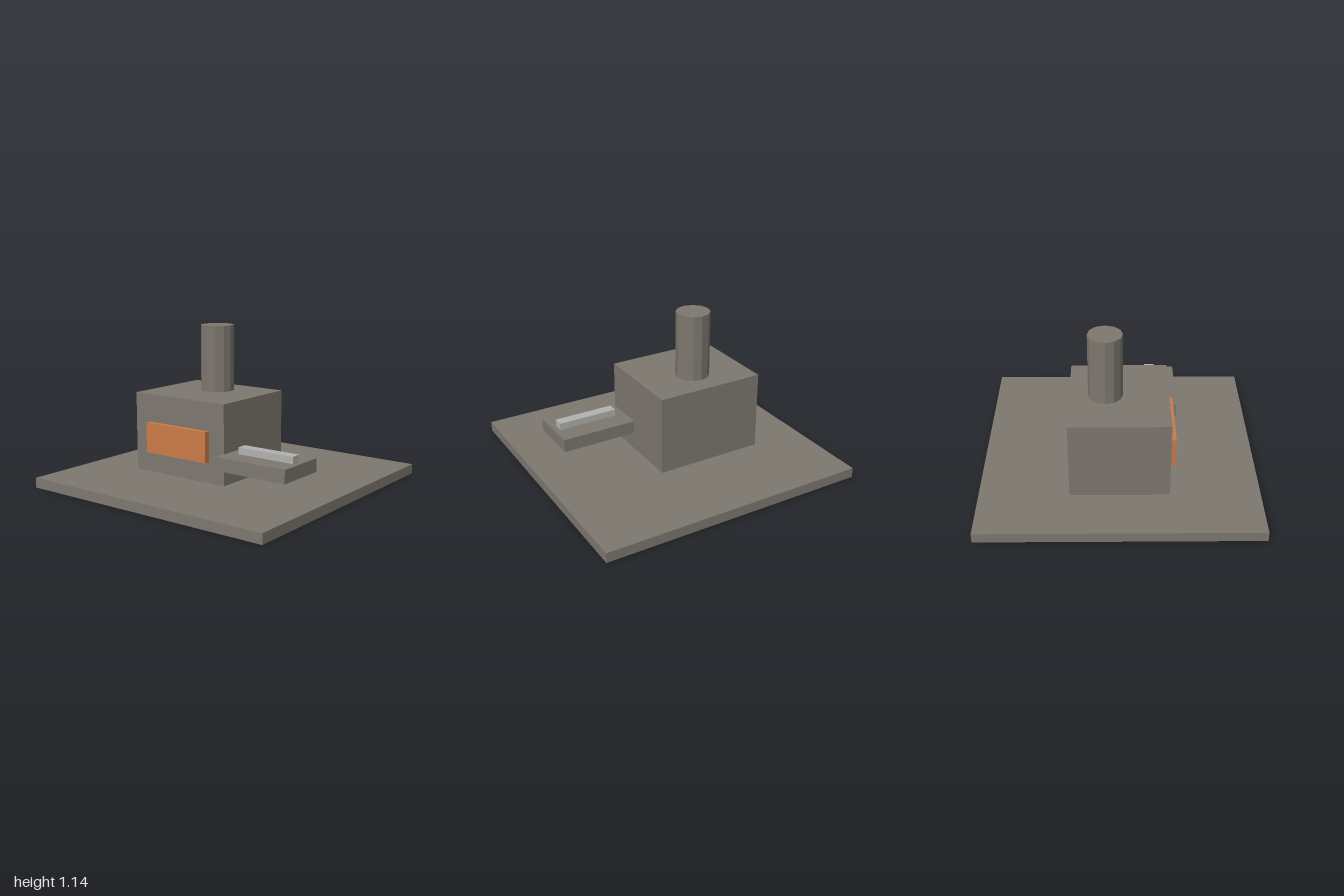
import * as THREE from 'three';

const stone = new THREE.MeshStandardMaterial({ name: 'stone grey', color: 0x7d786f });
const orange = new THREE.MeshStandardMaterial({ name: 'ember orange', color: 0xc97b47 });
const metal = new THREE.MeshStandardMaterial({ name: 'light metal', color: 0xb2b2b0 });

// Box given by its extents along each axis
function block(name, material, [x0, x1], [y0, y1], [z0, z1]) {
  const mesh = new THREE.Mesh(new THREE.BoxGeometry(x1 - x0, y1 - y0, z1 - z0), material);
  mesh.position.set((x0 + x1) / 2, (y0 + y1) / 2, (z0 + z1) / 2);
  mesh.name = name;
  return mesh;
}

export function createModel() {
  const group = new THREE.Group();
  group.name = 'forge';

  // Floor slab and furnace body
  group.add(block('floorSlab', stone, [-1, 1], [0, 0.073], [-1, 1]));
  group.add(block('furnaceBody', stone, [-0.595, 0.22], [0.073, 0.655], [-0.356, 0.356]));

  // Glowing furnace mouth on the front
  group.add(block('furnaceMouth', orange, [-0.46, 0.088], [0.226, 0.449], [0.356, 0.4]));

  // Side shelf with a metal bar resting on it
  group.add(block('sideShelf', stone, [0.208, 0.786], [0.205, 0.302], [0.055, 0.445]));
  group.add(block('metalBar', metal, [0.295, 0.745], [0.302, 0.352], [0.21, 0.287]));

  // Twelve-sided chimney; flat facets match the block style
  const geometry = new THREE.CylinderGeometry(0.124, 0.124, 0.49, 12).toNonIndexed();
  geometry.computeVertexNormals();
  const chimney = new THREE.Mesh(geometry, stone);
  chimney.name = 'chimney';
  chimney.position.set(-0.187, 0.9, -0.098);
  group.add(chimney);

  return group;
}
